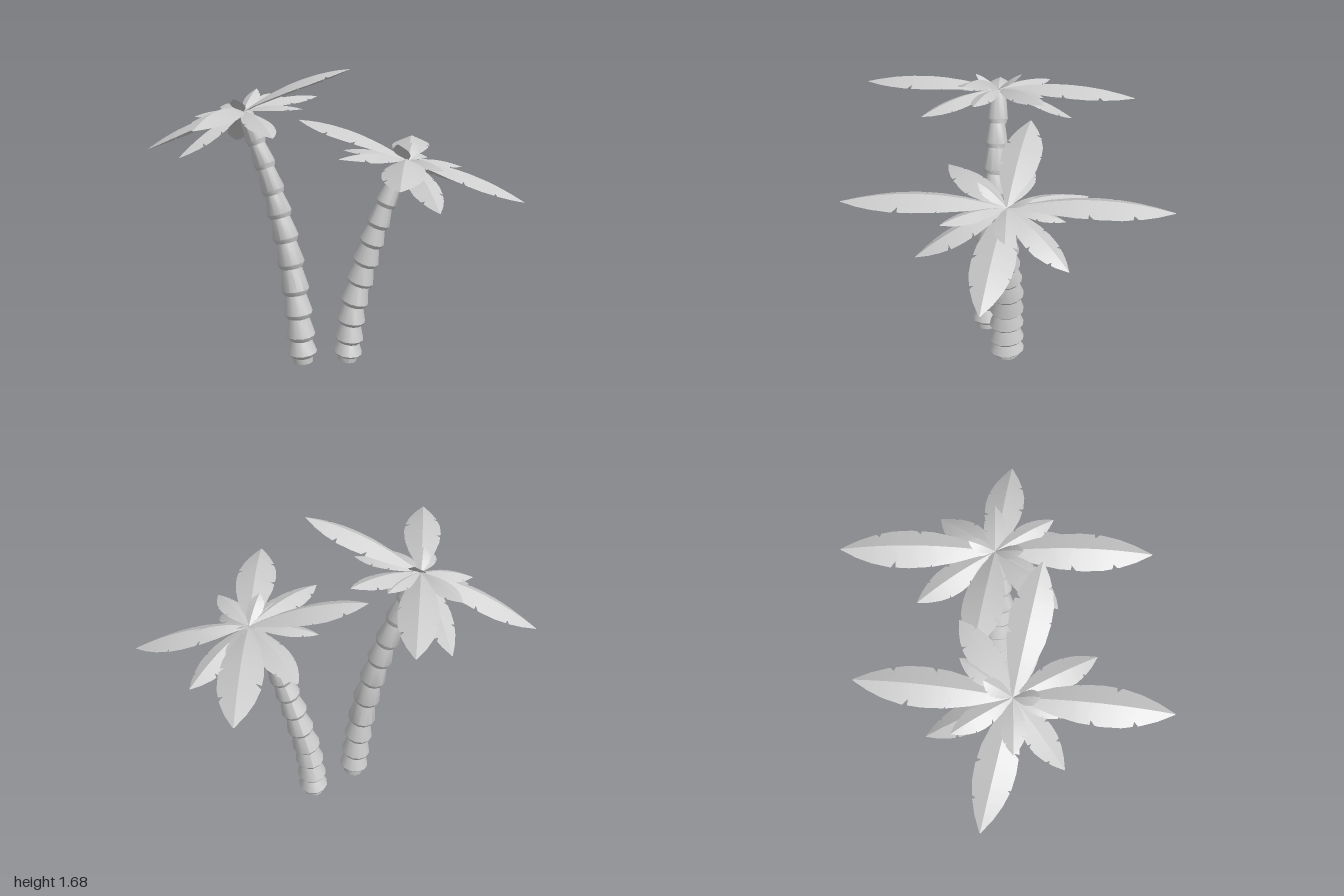
import * as THREE from 'three';
import { toCreasedNormals } from 'three/addons/utils/BufferGeometryUtils.js';

const V = (p) => new THREE.Vector3(...p);
const material = new THREE.MeshStandardMaterial({ color: 0xcccccc, side: THREE.DoubleSide });

// Heights of the flared bark rings, as fractions of the trunk length
const RINGS = [0.04, 0.112, 0.202, 0.295, 0.4, 0.502, 0.6, 0.692, 0.795, 0.89];

// Trunk: a ringed lathe profile bent along a curve; rx and rz scale its section
function makeTrunk(path, rx, rz) {
  const curve = new THREE.CatmullRomCurve3(path.map(V));
  const profile = [[0, 0], [0.056, 0], [0.058, 0.022]];
  RINGS.forEach((t, i) => {
    const r = 0.083 - 0.031 * t * t - 0.004 * t;
    const next = i < RINGS.length - 1 ? RINGS[i + 1] - 0.018 : 1;
    profile.push([r * 0.97, t - 0.004], [r, t], [r * 0.69, next]);
    if (next < 1) profile.push([r * 0.8, next]);
  });
  profile.push([0, 1]);
  const geo = new THREE.LatheGeometry(profile.map(([r, t]) => new THREE.Vector2(r, t)), 12);
  const pos = geo.attributes.position;
  for (let i = 0; i < pos.count; i++) {
    const t = THREE.MathUtils.clamp(pos.getY(i), 0, 1);
    const tangent = curve.getTangentAt(t);
    const front = new THREE.Vector3(1, 0, 0).cross(tangent).normalize();
    const side = tangent.clone().cross(front);
    const p = curve.getPointAt(t)
      .addScaledVector(side, pos.getX(i) * rx)
      .addScaledVector(front, pos.getZ(i) * rz);
    pos.setXYZ(i, p.x, p.y, p.z);
  }
  const mesh = new THREE.Mesh(toCreasedNormals(geo, 0.6), material);
  mesh.name = 'trunk';
  return mesh;
}

// Outline of half a blade: narrow stem, widest past the middle, pointed tip
const OUTLINE = [[0, 0.12], [0.1, 0.3], [0.25, 0.68], [0.4, 0.92], [0.55, 1], [0.68, 0.95],
  [0.8, 0.74], [0.9, 0.45], [1, 0.03]];
function outlineWidth(t) {
  let i = 1;
  while (i < OUTLINE.length - 1 && OUTLINE[i][0] < t) i++;
  const [a, wa] = OUTLINE[i - 1], [b, wb] = OUTLINE[i];
  return THREE.MathUtils.lerp(wa, wb, (t - a) / (b - a));
}

// Frond: an arched blade folded along its midrib, with slits torn into both edges
function makeFrond(base, tip, halfWidth, seed) {
  const length = base.distanceTo(tip);
  const middle = base.clone().lerp(tip, 0.5);
  middle.y += 0.14 * length;
  const curve = new THREE.QuadraticBezierCurve3(base, middle, tip);
  const shift = (seed % 4) * 0.025;
  const slits = [[0.4 + shift, 0], [0.5 + shift, 1], [0.66 + shift, 0], [0.77 + shift, 1]];
  const rows = OUTLINE.map(([t]) => [t, 1, 1]);
  for (const [t, edge] of slits) {
    rows.push([t - 0.02, 1, 1], [t, edge ? 1 : 0.6, edge ? 0.6 : 1], [t + 0.012, 1, 1]);
  }
  rows.sort((a, b) => a[0] - b[0]);

  const verts = [], index = [];
  rows.forEach(([t, left, right], i) => {
    const p = curve.getPoint(t);
    const tangent = curve.getTangent(t);
    const side = tangent.clone().cross(new THREE.Vector3(0, 1, 0)).normalize();
    const up = side.clone().cross(tangent);
    const w = outlineWidth(t) * halfWidth;
    for (const k of [-left, 0, right]) {
      // edges hang below the midrib, and a slit pulls back towards the stem
      const q = p.clone().addScaledVector(side, k * w)
        .addScaledVector(up, -0.42 * Math.abs(k) * w);
      if (k && Math.abs(k) < 1) q.addScaledVector(tangent, -0.035 * length);
      verts.push(q.x, q.y, q.z);
    }
    if (i === 0) return;
    for (const j of [0, 1]) {
      const a = (i - 1) * 3 + j, b = a + 1, c = a + 3, d = a + 4;
      index.push(a, b, c, b, d, c);
    }
  });
  const geo = new THREE.BufferGeometry();
  geo.setAttribute('position', new THREE.Float32BufferAttribute(verts, 3));
  geo.setIndex(index);
  const mesh = new THREE.Mesh(toCreasedNormals(geo, 0.6), material);
  mesh.name = 'frond';
  return mesh;
}

// Small inner fronds: offset of the tip from the crown, then half width
const INNER = [
  [-0.1, 0.0, -0.32, 0.06], [-0.26, -0.03, -0.06, 0.06], [0.08, 0.11, -0.12, 0.045],
  [0.24, 0.03, -0.2, 0.05], [-0.05, 0.08, 0.12, 0.04], [0.3, 0.03, 0.19, 0.055],
  [-0.14, -0.02, 0.24, 0.05],
];

// Palm: trunk plus a crown of long fronds (tip x, y, z, half width) and inner ones
function makePalm(name, { path, rx, rz, crown, fronds, turn }) {
  const palm = new THREE.Group();
  palm.name = name;
  palm.add(makeTrunk(path, rx, rz));
  const leaves = new THREE.Group();
  leaves.name = 'crown';
  const centre = V(crown);
  fronds.forEach(([x, y, z, w], i) => leaves.add(makeFrond(centre, V([x, y, z]), w, i)));
  INNER.forEach(([x, y, z, w], i) => {
    const tip = centre.clone().add(V([x * turn, y, z * turn]));
    leaves.add(makeFrond(centre, tip, w, i + 1));
  });
  palm.add(leaves);
  return palm;
}

export function createModel() {
  const model = new THREE.Group();
  model.name = 'palmTrees';
  model.add(makePalm('tallPalm', {
    path: [[-0.165, 0.03, 0.015], [-0.19, 0.32, 0.005], [-0.225, 0.6, -0.02],
      [-0.28, 0.87, -0.05], [-0.36, 1.155, -0.08], [-0.455, 1.43, -0.11]],
    rx: 1, rz: 1.08, turn: 1,
    crown: [-0.465, 1.43, -0.11],
    fronds: [
      [-0.2, 1.43, -0.82, 0.1], [-1, 1.19, -0.4, 0.1], [-0.49, 1.21, -0.55, 0.075],
      [-0.81, 1.215, 0.06, 0.075], [-0.72, 1.43, 0.6, 0.1], [-0.34, 1.35, 0.34, 0.075],
      [0.07, 1.67, 0.165, 0.1], [-0.05, 1.49, -0.27, 0.075],
    ],
  }));
  model.add(makePalm('shortPalm', {
    path: [[0.095, 0, -0.06], [0.125, 0.3, -0.05], [0.165, 0.47, -0.045],
      [0.235, 0.74, -0.015], [0.305, 0.95, 0.0], [0.405, 1.16, 0.01]],
    rx: 1, rz: 1.22, turn: -1.08,
    crown: [0.415, 1.165, 0.01],
    fronds: [
      [0.2, 1.165, 0.81, 0.11], [1, 0.965, 0.245, 0.105], [0.48, 0.975, 0.475, 0.085],
      [0.765, 0.99, -0.22, 0.085], [0.62, 1.17, -0.78, 0.11], [0.255, 1.1, -0.45, 0.085],
      [-0.155, 1.365, -0.23, 0.105], [0, 1.22, 0.24, 0.08],
    ],
  }));
  return model;
}
